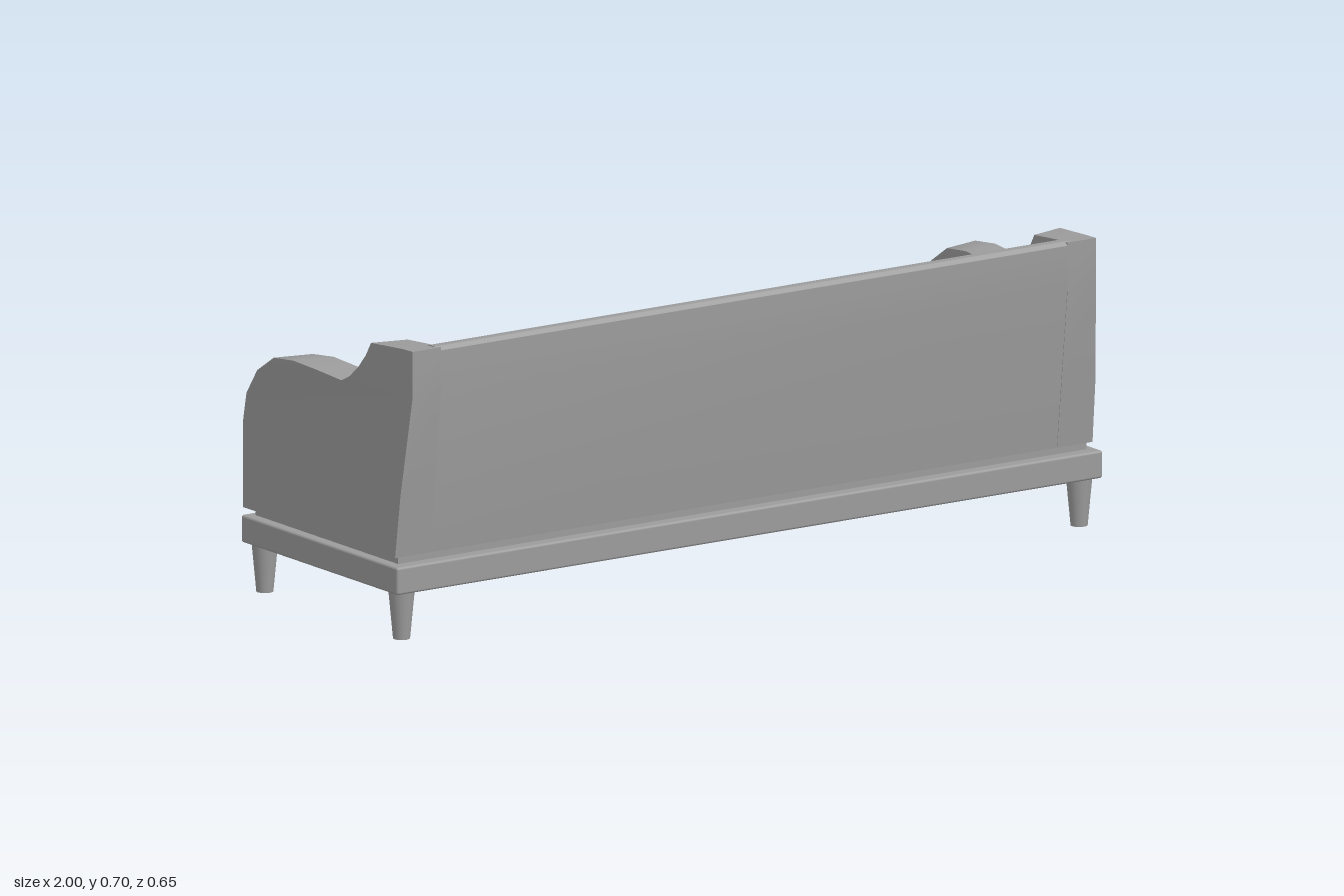
import * as THREE from 'three';
import { toCreasedNormals } from 'three/addons/utils/BufferGeometryUtils.js';
import { RoundedBoxGeometry } from 'three/addons/geometries/RoundedBoxGeometry.js';

const fabric = new THREE.MeshStandardMaterial({ color: 0x9c9c9c });
fabric.name = 'grey';

const { lerp, clamp } = THREE.MathUtils;

function add(group, name, geometry, x = 0, y = 0, z = 0) {
  const mesh = new THREE.Mesh(geometry, fabric);
  mesh.name = name;
  mesh.position.set(x, y, z);
  group.add(mesh);
  return mesh;
}

// Box given by its limits, with slightly rounded edges
function slab(group, name, x0, x1, y0, y1, z0, z1, radius) {
  const geometry = new RoundedBoxGeometry(x1 - x0, y1 - y0, z1 - z0, 3, radius);
  return add(group, name, geometry, (x0 + x1) / 2, (y0 + y1) / 2, (z0 + z1) / 2);
}

// Outline of [z, y] points extruded along x; place(t, y, z) gives x and z for t in 0..1
function sideExtrude(points, place) {
  const shape = new THREE.Shape(points.map(([z, y]) => new THREE.Vector2(z, y)));
  const geometry = new THREE.ExtrudeGeometry(shape, { depth: 1, bevelEnabled: false });
  const p = geometry.attributes.position;
  for (let i = 0; i < p.count; i++) {
    const y = p.getY(i);
    const [x, z] = place(p.getZ(i), y, p.getX(i));
    p.setXYZ(i, x, y, z);
  }
  geometry.computeVertexNormals();
  return toCreasedNormals(geometry, 0.5);
}

const armOutline = [
  [0.285, 0.198], [0.302, 0.35], [0.328, 0.59], [0.328, 0.698], [0.29, 0.697], [0.17, 0.689],
  [0.15, 0.655], [0.122, 0.622], [0.09, 0.594], [0.06, 0.578],
  [-0.03, 0.585], [-0.12, 0.59], [-0.2, 0.581], [-0.267, 0.538],
  [-0.311, 0.475], [-0.326, 0.4], [-0.326, 0.198],
];

// The outer face leans in toward the upper rear; the inner edge is skewed rearward
function armGeometry(side) {
  return sideExtrude(armOutline, (t, y, z) => {
    const k = side < 0 ? t : 1 - t;
    const rear = clamp((z + 0.12) / 0.42, 0, 1);
    const outer = 0.994 - rear * lerp(0.006, 0.026, clamp((y - 0.3) / 0.29, 0, 1));
    const inner = lerp(0.903, 0.888, clamp((z + 0.32) / 0.4, 0, 1));
    const skew = z < 0.25 ? 0.022 * (1 - k) : 0;
    return [side * lerp(inner, outer, k), z + skew];
  });
}

export function createModel() {
  const sofa = new THREE.Group();
  sofa.name = 'sofa';

  // Base slab and recessed plinth
  slab(sofa, 'base', -1, 1, 0.115, 0.181, -0.325, 0.311, 0.006);
  add(sofa, 'plinth', new THREE.BoxGeometry(1.95, 0.03, 0.581), 0, 0.19, -0.012);

  // Tapered legs
  for (const x of [-0.96, 0.96]) {
    for (const z of [-0.285, 0.271]) {
      add(sofa, 'leg', new THREE.CylinderGeometry(0.031, 0.02, 0.116, 24), x, 0.058, z);
    }
  }

  // Arms
  add(sofa, 'leftArm', armGeometry(1));
  add(sofa, 'rightArm', armGeometry(-1));

  const across = (t, y, z) => [lerp(0.9, -0.9, 1 - t) * -1, z];

  // Backrest with a sloping seat side and a softened top
  add(sofa, 'backrest', sideExtrude([
    [0.284, 0.198], [0.327, 0.59], [0.327, 0.69], [0.318, 0.699], [0.3, 0.7],
    [0.284, 0.695], [0.274, 0.68], [0.222, 0.38], [0.222, 0.198],
  ], across));

  // Seat deck with a rounded front rail
  add(sofa, 'seatDeck', sideExtrude([
    [0.25, 0.198], [0.25, 0.31], [-0.285, 0.31], [-0.29, 0.321], [-0.3, 0.326],
    [-0.311, 0.322], [-0.317, 0.31], [-0.317, 0.198],
  ], across));

  // Two seat cushions
  for (const side of [-1, 1]) {
    const cushion = slab(sofa, 'cushion', 0.009, 0.888, 0.305, 0.403, -0.283, 0.22, 0.02);
    cushion.position.x *= side;
  }

  return sofa;
}
